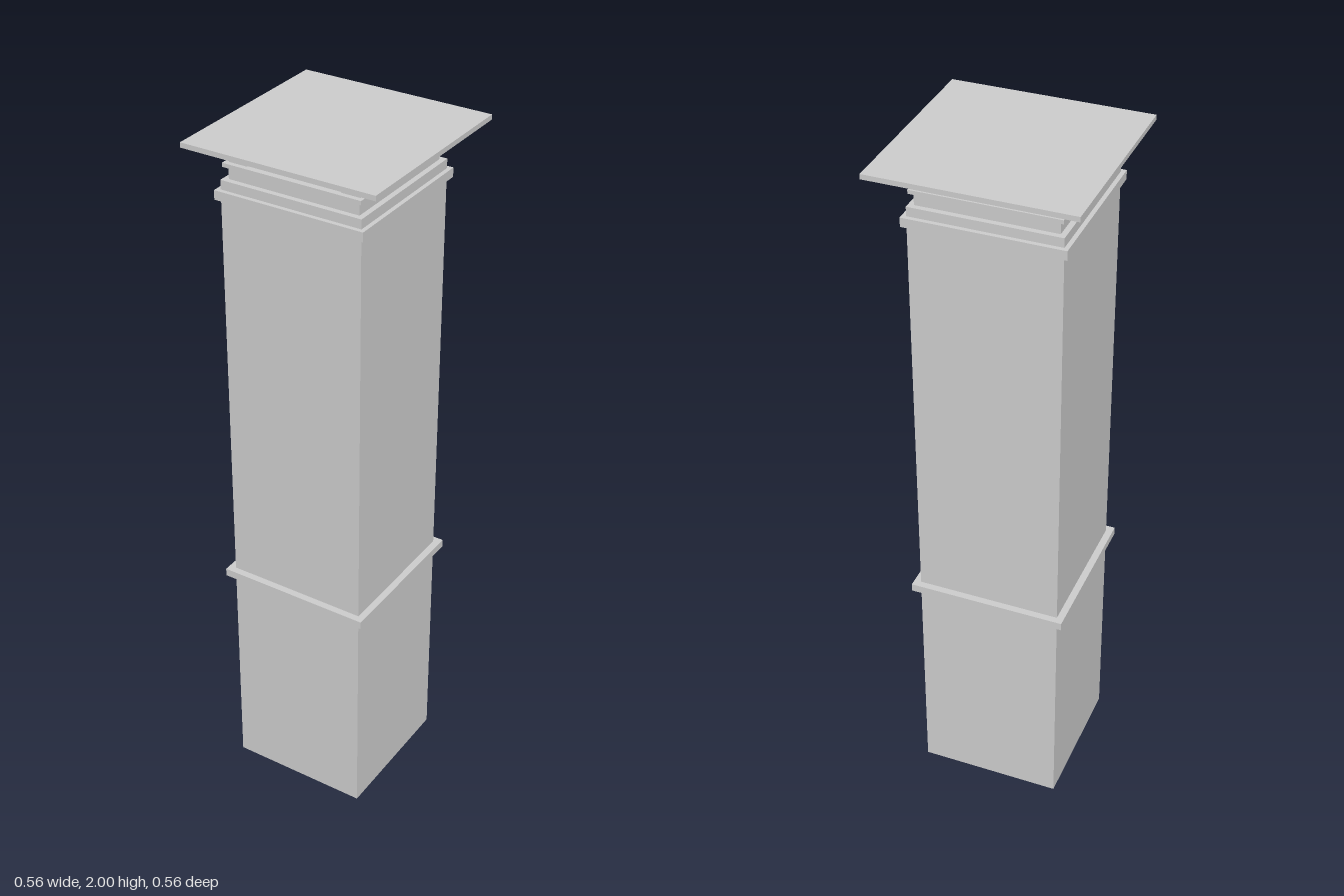
import * as THREE from 'three';

const CX = -0.008, CZ = 0.003; // the stack sits slightly off the cap's centre

export function createModel() {
  const group = new THREE.Group();
  group.name = 'chimney';
  const solid = new THREE.MeshStandardMaterial({ color: 0xcccccc, flatShading: true });
  const open = solid.clone();
  open.side = THREE.DoubleSide;

  const add = (name, geometry, material, x, y, z) => {
    const mesh = new THREE.Mesh(geometry, material);
    mesh.name = name;
    mesh.position.set(x, y, z);
    group.add(mesh);
  };

  // Square sleeve swept around y; profile points are [half width, height]
  const sleeve = (name, profile) => {
    const points = profile.map(([h, y]) => new THREE.Vector2(h * Math.SQRT2, y));
    add(name, new THREE.LatheGeometry(points, 4, Math.PI / 4), open, CX, 0, CZ);
  };

  // Box spanning y0 to y1
  const slab = (name, width, y0, y1, x = CX, z = CZ) =>
    add(name, new THREE.BoxGeometry(width, y1 - y0, width), solid, x, (y0 + y1) / 2, z);

  // Hollow shaft, open at the bottom and closed at the top
  const s = 0.205;
  sleeve('shaft', [[s, 0], [s, 1.89], [0, 1.89]]);

  // Projecting bands around the shaft
  const band = (name, h, y0, y1) => sleeve(name, [[s, y0], [h, y0], [h, y1], [s, y1]]);
  band('middleBand', 0.225, 0.667, 0.69);
  band('upperBand', 0.217, 1.838, 1.864);

  // Stepped neck and its rim
  slab('neck', 0.38, 1.89, 1.924);
  slab('rim', 0.402, 1.924, 1.935);

  // Four corner posts carrying the cap
  for (const sx of [-1, 1])
    for (const sz of [-1, 1])
      slab('capPost', 0.053, 1.935, 1.986, CX + sx * 0.163, CZ + sz * 0.161);

  // Flat cap plate
  slab('capPlate', 0.556, 1.986, 2, 0, 0);
  return group;
}
